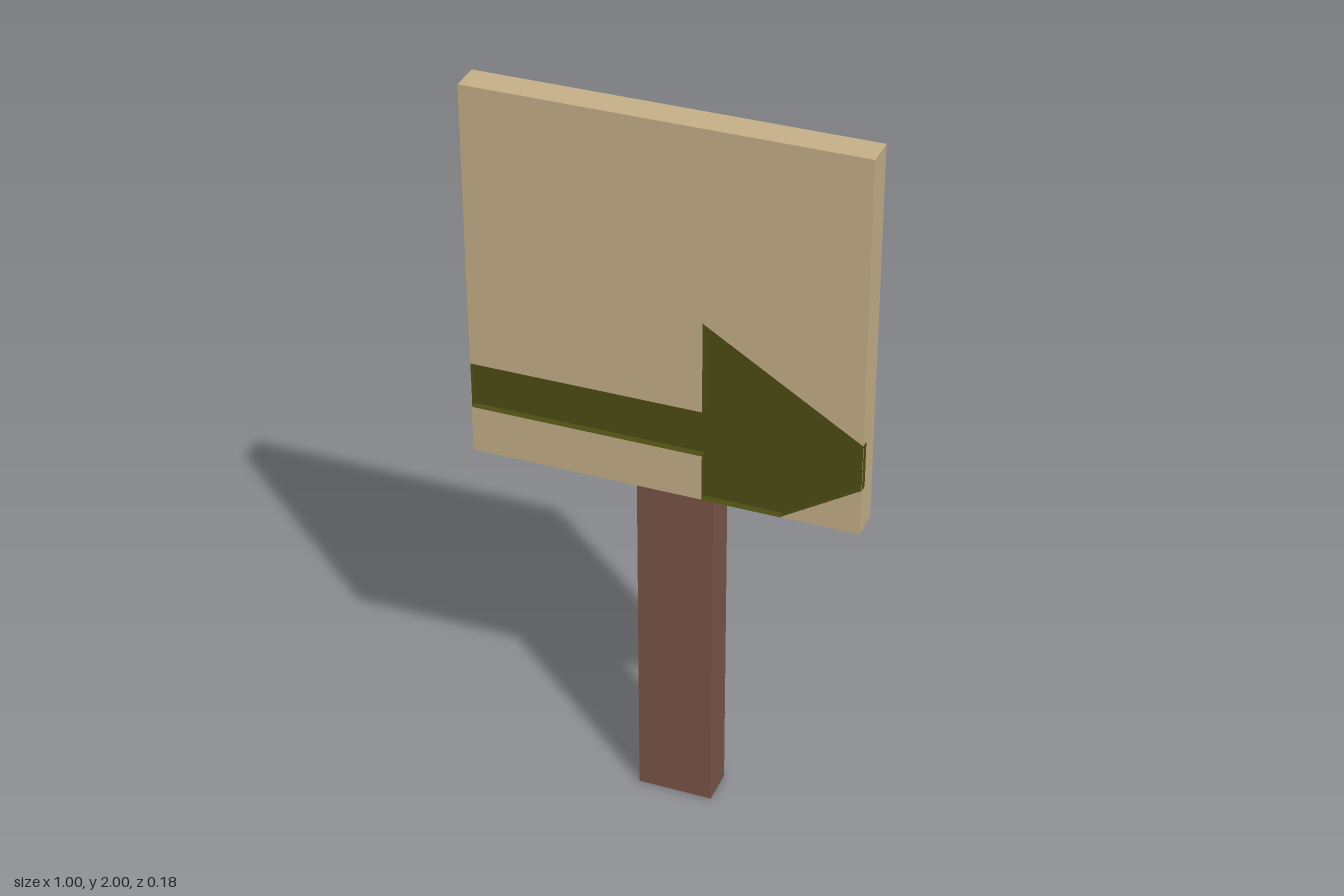
import * as THREE from 'three';

const FRONT = 0.09, RECESS = 0.07;

function shapeOf(points) {
  return new THREE.Shape(points.map(([x, y]) => new THREE.Vector2(x, y)));
}

function part(name, geometry, color, side = THREE.FrontSide) {
  const mesh = new THREE.Mesh(geometry, new THREE.MeshStandardMaterial({ color, side }));
  mesh.name = name;
  return mesh;
}

// Ribbon of quads following a closed outline between two depths
function wallsAround(points, z0, z1) {
  const pos = [];
  points.forEach(([ax, ay], i) => {
    const [bx, by] = points[(i + 1) % points.length];
    // wound to face the inside of a counter-clockwise outline
    pos.push(ax, ay, z0, bx, by, z1, bx, by, z0, ax, ay, z0, ax, ay, z1, bx, by, z1);
  });
  const g = new THREE.BufferGeometry();
  g.setAttribute('position', new THREE.Float32BufferAttribute(pos, 3));
  g.computeVertexNormals();
  return g;
}

export function createModel() {
  const group = new THREE.Group();
  group.name = 'signpost';
  const tan = 0xc5b088, brown = 0x795548, green = 0x4d4d14;

  // Post
  const post = part('post', new THREE.BoxGeometry(0.2, 1.25, 0.1), brown);
  post.position.set(0, 0.625, -0.04);
  group.add(post);

  // Board body: a box without its front face
  const boxGeo = new THREE.BoxGeometry(1, 1, 0.08);
  const index = Array.from(boxGeo.index.array);
  index.splice(24, 6); // the +z face
  boxGeo.setIndex(index);
  boxGeo.clearGroups();
  const body = part('boardBody', boxGeo, tan);
  body.position.set(0, 1.5, 0.05);
  group.add(body);

  // Board front, in pieces around the arrow
  const pieces = [
    [[-0.5, 1.25], [0.1, 1.25], [0.1, 1.495], [0.5, 1.25], [0.5, 2], [-0.5, 2]],
    [[-0.5, 1], [0.1, 1], [0.1, 1.125], [-0.5, 1.125]],
    [[0.3, 1], [0.5, 1], [0.5, 1.125]],
  ];
  const front = part('boardFront', new THREE.ShapeGeometry(pieces.map(shapeOf)), tan);
  front.position.z = FRONT;
  group.add(front);

  // Carved arrow: sunken floor and the walls around it
  const arrow = [
    [-0.499, 1.125], [0.1, 1.125], [0.1, 0.999], [0.3, 0.999],
    [0.501, 1.125], [0.501, 1.25], [0.1, 1.495], [0.1, 1.25], [-0.499, 1.25],
  ];
  const floor = part('arrowFloor', new THREE.ShapeGeometry(shapeOf(arrow)), green);
  floor.position.z = RECESS;
  group.add(floor);
  group.add(part('arrowWalls', wallsAround(arrow, RECESS, FRONT), green, THREE.DoubleSide));

  return group;
}
